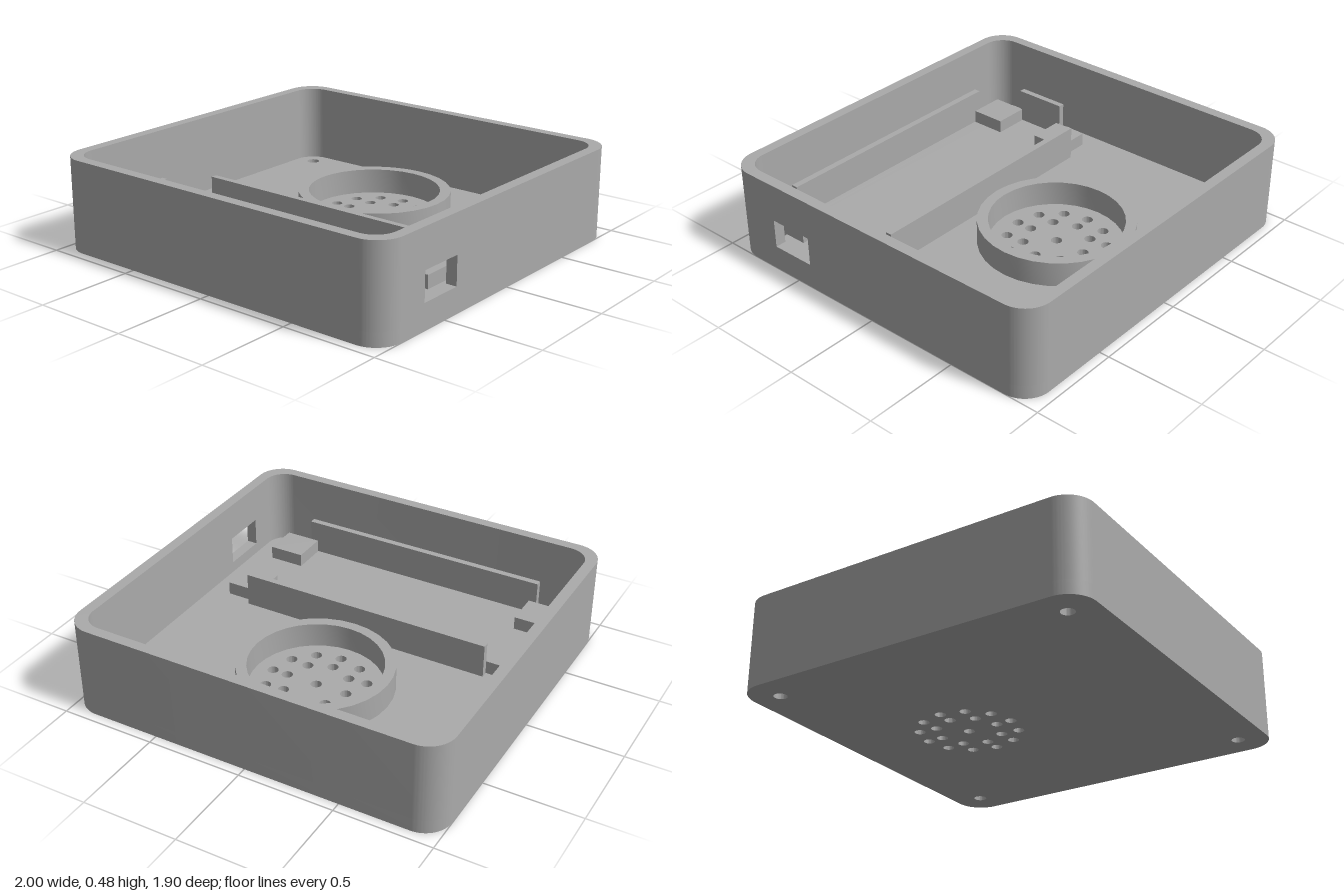
import * as THREE from 'three';
import { toCreasedNormals } from 'three/addons/utils/BufferGeometryUtils.js';

const HX = 1, HZ = 0.95, HEIGHT = 0.48, FLOOR = 0.07; // half sizes, height, floor thickness
const IX = 0.943, IZ = 0.895;                         // half sizes of the inner cavity
const R_OUT = 0.14, R_IN = 0.11;                      // corner radii

const body = new THREE.MeshStandardMaterial({ color: 0xaaaaaa });
body.name = 'grey plastic';

// Plan shapes use (x, -z); extruding raises them from y0 to y1
function raise(shape, y0, y1) {
  const g = new THREE.ExtrudeGeometry(shape, { depth: y1 - y0, bevelEnabled: false, curveSegments: 16 });
  g.rotateX(-Math.PI / 2).translate(0, y0, 0);
  return toCreasedNormals(g, 0.6);
}

function circle(Type, x, z, r) {
  const p = new Type();
  p.absarc(x, -z, r, 0, Math.PI * 2, false);
  return p;
}

function roundedRect(hx, hz, r) {
  const s = new THREE.Shape();
  s.absarc(hx - r, hz - r, r, 0, Math.PI / 2);
  s.absarc(-hx + r, hz - r, r, Math.PI / 2, Math.PI);
  s.absarc(-hx + r, -hz + r, r, Math.PI, Math.PI * 1.5);
  s.absarc(hx - r, -hz + r, r, Math.PI * 1.5, Math.PI * 2);
  s.closePath();
  return s;
}

export function createModel() {
  const group = new THREE.Group();
  group.name = 'enclosure';
  const add = (name, geometry) => {
    const m = new THREE.Mesh(geometry, body);
    m.name = name;
    group.add(m);
  };
  const box = (name, x0, x1, y0, y1, z0, z1) => add(name,
    new THREE.BoxGeometry(x1 - x0, y1 - y0, z1 - z0)
      .translate((x0 + x1) / 2, (y0 + y1) / 2, (z0 + z1) / 2));

  // Floor with screw holes and the speaker grille
  const SZ = -0.29;
  const floor = roundedRect(HX, HZ, R_OUT);
  for (const x of [-0.845, 0.845])
    for (const z of [-0.8, 0.8]) floor.holes.push(circle(THREE.Path, x, z, 0.034));
  for (const [count, radius] of [[1, 0], [8, 0.167], [12, 0.25]])
    for (let i = 0; i < count; i++) {
      const a = (i / count) * Math.PI * 2;
      floor.holes.push(circle(THREE.Path, radius * Math.cos(a), SZ + radius * Math.sin(a), 0.028));
    }
  add('floor', raise(floor, 0, FLOOR));

  // Walls on three sides, open along the straight part of the left side
  const E = HZ - R_OUT; // end of the straight part
  const wall = new THREE.Shape();
  wall.moveTo(HX, E);
  wall.absarc(HX - R_OUT, HZ - R_OUT, R_OUT, 0, Math.PI / 2);
  wall.absarc(-HX + R_OUT, HZ - R_OUT, R_OUT, Math.PI / 2, Math.PI);
  wall.absarc(-HX + R_OUT, -HZ + R_OUT, R_OUT, Math.PI, Math.PI * 1.5);
  wall.absarc(HX - R_OUT, -HZ + R_OUT, R_OUT, Math.PI * 1.5, Math.PI * 2);
  wall.lineTo(IX, -E);
  wall.absarc(IX - R_IN, -IZ + R_IN, R_IN, Math.PI * 2, Math.PI * 1.5, true);
  wall.absarc(-IX + R_IN, -IZ + R_IN, R_IN, Math.PI * 1.5, Math.PI, true);
  wall.absarc(-IX + R_IN, IZ - R_IN, R_IN, Math.PI, Math.PI / 2, true);
  wall.absarc(IX - R_IN, IZ - R_IN, R_IN, Math.PI / 2, 0, true);
  wall.lineTo(IX, E);
  wall.closePath();
  add('walls', raise(wall, FLOOR, HEIGHT));

  // Left wall panel with the connector window, drawn in (-z, y)
  const rect = (Type, a0, a1, b0, b1) => new Type([[a0, b0], [a1, b0], [a1, b1], [a0, b1], [a0, b0]]
    .map(([a, b]) => new THREE.Vector2(a, b)));
  const panel = rect(THREE.Shape, -E, E, FLOOR, HEIGHT);
  panel.holes.push(rect(THREE.Path, -0.65, -0.41, 0.13, 0.28));
  const panelGeo = new THREE.ExtrudeGeometry(panel, { depth: HX - IX, bevelEnabled: false });
  add('leftWallPanel', panelGeo.rotateY(Math.PI / 2).translate(IX, 0, 0));

  // Speaker ring
  const ring = circle(THREE.Shape, 0, SZ, 0.395);
  ring.holes.push(circle(THREE.Path, 0, SZ, 0.34));
  add('speakerRing', raise(ring, FLOOR, 0.2));

  // Circuit board holder: corner supports, side rails and end stop
  for (const [x0, x1] of [[-0.84, -0.65], [0.645, 0.835]])
    for (const [z0, z1] of [[0.207, 0.395], [0.645, 0.832]])
      box('boardSupport', x0, x1, FLOOR, 0.14, z0, z1);
  box('backRail', -0.69, 0.69, FLOOR, 0.25, 0.17, 0.203);
  box('frontRail', -0.69, 0.69, FLOOR, 0.25, 0.836, 0.87);
  box('endStop', -0.876, -0.843, FLOOR, 0.25, 0.376, 0.662);

  return group;
}
